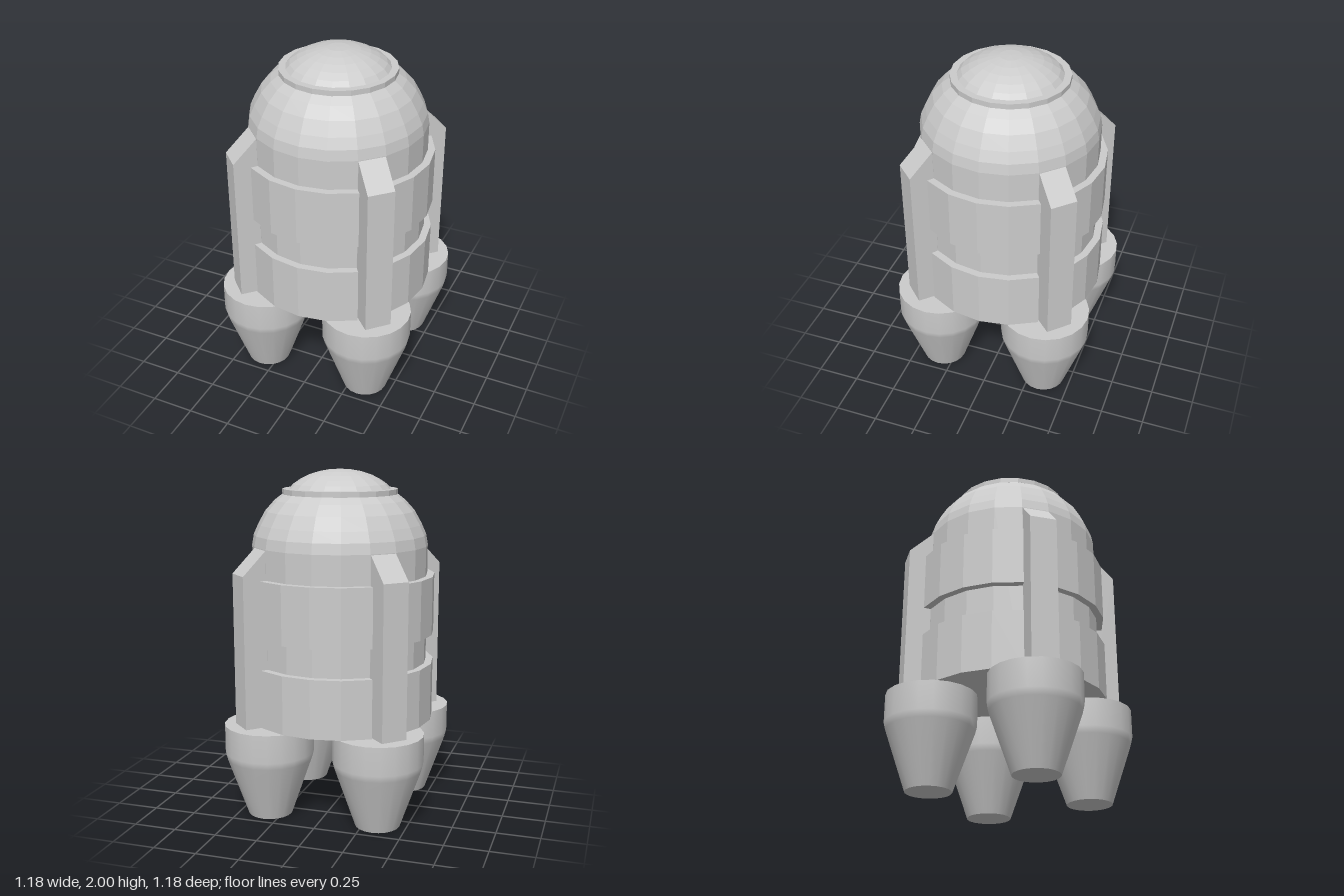
import * as THREE from 'three';

const SIDES = 20;

export function createModel() {
  const model = new THREE.Group();
  model.name = 'rocketPod';
  const faceted = new THREE.MeshStandardMaterial({ color: 0xcccccc, flatShading: true });
  const smooth = new THREE.MeshStandardMaterial({ color: 0xcccccc });

  const add = (name, geometry, material = faceted, parent = model) => {
    const mesh = new THREE.Mesh(geometry, material);
    mesh.name = name;
    parent.add(mesh);
    return mesh;
  };
  const toPoints = (list) => list.map(([x, y]) => new THREE.Vector2(x, y));
  const lathe = (list) => new THREE.LatheGeometry(toPoints(list), SIDES);
  const extrude = (list, depth) =>
    new THREE.ExtrudeGeometry(new THREE.Shape(toPoints(list)), { depth, bevelEnabled: false });

  // Hull, dome, collar and nose cap
  add('hull', lathe([[0, 0.55], [0.512, 0.55], [0.512, 1.57]]));
  add('dome', lathe([[0.512, 1.57], [0.501, 1.63], [0.474, 1.69], [0.432, 1.765], [0.378, 1.825], [0.32, 1.87]]));
  add('collar', lathe([[0.29, 1.86], [0.333, 1.86], [0.333, 1.89], [0.28, 1.89]]));
  add('noseCap', lathe([[0.298, 1.885], [0.27, 1.916], [0.228, 1.945], [0.18, 1.969], [0.123, 1.987], [0.062, 1.998], [0, 2]]));

  // Curved armour panel: a 72 degree band whose corners line up with the hull
  const arc = [-36, -18, 0, 18, 36].map(THREE.MathUtils.degToRad);
  const band = [
    ...arc.map((a) => [0.554 * Math.cos(a), 0.554 * Math.sin(a)]),
    ...arc.slice().reverse().map((a) => [0.5 * Math.cos(a), 0.5 * Math.sin(a)]),
  ];
  const panelGeometry = extrude(band, 0.34).rotateX(-Math.PI / 2);

  // Fin: upright rib with a sloped top
  const finWidth = 0.155;
  const finGeometry = extrude([[0.45, 0.55], [0.643, 0.55], [0.643, 1.43], [0.502, 1.57], [0.45, 1.57]], finWidth)
    .translate(0, 0, -finWidth / 2);

  // Thruster: smooth wall with flat, sharp-edged ends
  const wallGeometry = lathe([[0.13, 0], [0.25, 0.345], [0.26, 0.385], [0.26, 0.55]]);
  const topGeometry = new THREE.CircleGeometry(0.26, SIDES).rotateX(-Math.PI / 2).translate(0, 0.55, 0);
  const bottomGeometry = new THREE.CircleGeometry(0.13, SIDES).rotateX(Math.PI / 2);

  for (let i = 0; i < 4; i++) {
    const side = (i * Math.PI) / 2;
    const corner = side + Math.PI / 4;

    for (const [name, y] of [['lowerPanel', 0.55], ['upperPanel', 1.06]]) {
      const panel = add(name, panelGeometry);
      panel.rotation.y = side;
      panel.position.y = y;
    }

    add('fin', finGeometry).rotation.y = corner;

    const thruster = new THREE.Group();
    thruster.name = 'thruster';
    thruster.position.set(0.465 * Math.cos(corner), 0, 0.465 * Math.sin(corner));
    add('thrusterWall', wallGeometry, smooth, thruster);
    add('thrusterTop', topGeometry, smooth, thruster);
    add('thrusterBottom', bottomGeometry, smooth, thruster);
    model.add(thruster);
  }
  return model;
}
